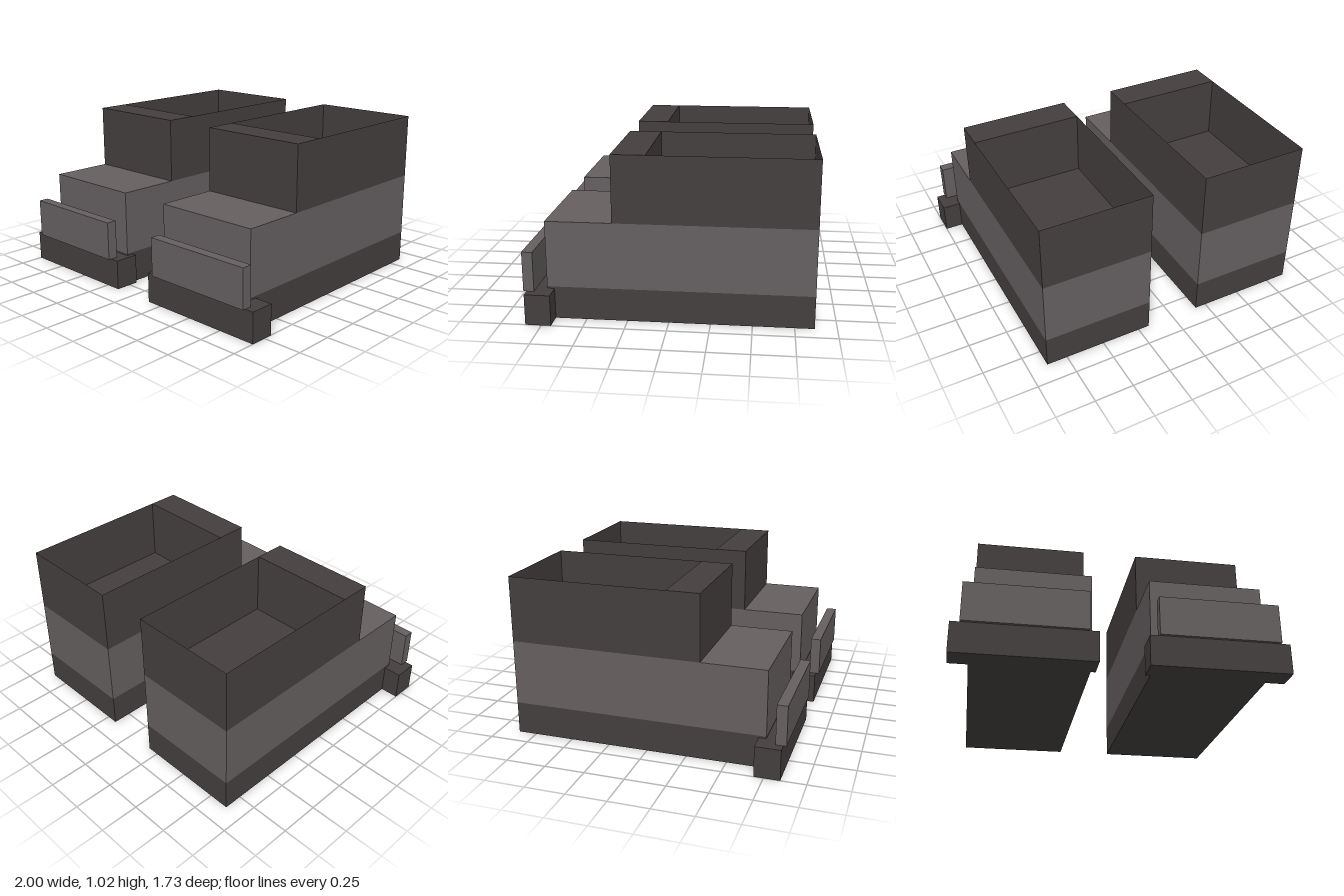
import * as THREE from 'three';

const dark = new THREE.MeshStandardMaterial({ color: 0x443f3e, side: THREE.DoubleSide });
dark.name = 'dark grey';
const grey = new THREE.MeshStandardMaterial({ color: 0x655f60 });
grey.name = 'warm grey';

const BACK = -0.867, ANKLE = 0.613, TOP = 1.025;
const INNER = 0.177, OUTER = 0.882;

// Box given by its limits on each axis
function block(name, material, [x0, x1], [y0, y1], [z0, z1]) {
  const mesh = new THREE.Mesh(new THREE.BoxGeometry(x1 - x0, y1 - y0, z1 - z0), material);
  mesh.position.set((x0 + x1) / 2, (y0 + y1) / 2, (z0 + z1) / 2);
  mesh.name = name;
  return mesh;
}

// Thin sheet, turned about one axis
function sheet(name, w, h, pos, rx, ry) {
  const mesh = new THREE.Mesh(new THREE.PlaneGeometry(w, h), dark);
  mesh.position.set(...pos);
  mesh.rotation.set(rx, ry, 0);
  mesh.name = name;
  return mesh;
}

// One boot; side is +1 for left, -1 for right
function boot(side) {
  const g = new THREE.Group();
  g.name = side > 0 ? 'leftBoot' : 'rightBoot';
  const span = (a, b) => (side > 0 ? [a, b] : [-b, -a]);
  const body = span(INNER, OUTER);

  // Foot
  g.add(block('sole', dark, body, [0, 0.203], [BACK, 0.737]));
  g.add(block('foot', grey, body, [0.203, ANKLE], [BACK, 0.737]));
  g.add(block('toeBar', dark, span(0.147, 1), [0, 0.191], [0.692, 0.848]));
  g.add(block('toePlate', grey, span(0.205, 0.943), [0.191, 0.438], [0.802, 0.867]));

  // Hollow cuff: thick front, thin sides and back
  const front = 0.13;
  g.add(block('cuffFront', dark, body, [ANKLE, TOP], [front, 0.335]));
  const w = OUTER - INNER, h = TOP - ANKLE, d = front - BACK;
  const cx = side * (INNER + OUTER) / 2, cy = (ANKLE + TOP) / 2, cz = (front + BACK) / 2;
  g.add(sheet('cuffBack', w, h, [cx, cy, BACK], 0, Math.PI));
  for (const s of [-1, 1]) {
    g.add(sheet('cuffSide', d, h, [cx + s * w / 2, cy, cz], 0, s * Math.PI / 2));
  }
  g.add(sheet('cuffFloor', w, d, [cx, ANKLE + 0.003, cz], -Math.PI / 2, 0));
  return g;
}

export function createModel() {
  const model = new THREE.Group();
  model.name = 'boots';
  model.add(boot(1), boot(-1));
  return model;
}
